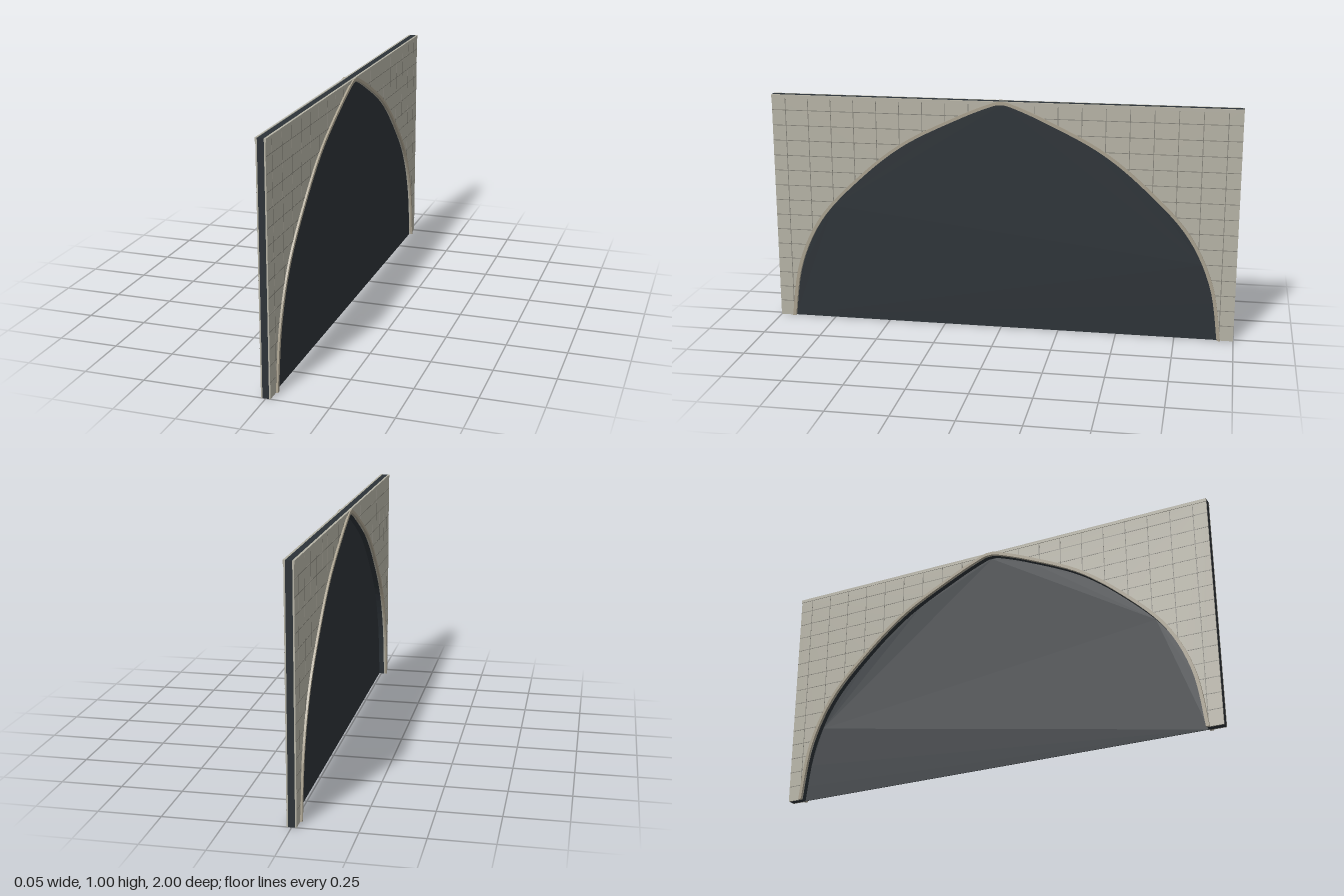
import * as THREE from 'three';

const stone = new THREE.MeshStandardMaterial({ color: 0xb5b2a5 });
const trimMat = new THREE.MeshStandardMaterial({ color: 0xa8a08e });
const jointMat = new THREE.MeshStandardMaterial({ color: 0x85837a });
const dark = new THREE.MeshStandardMaterial({ color: 0x2c3237 });

const CORE = 0.013, FACE = 0.019, RAIL = 0.022, TRIM = 0.027;

// Half of the pointed arch, from springing to apex, as (z, y)
const half = new THREE.SplineCurve([
  [0.945, 0], [0.905, 0.245], [0.8, 0.465], [0.615, 0.66], [0.42, 0.813], [0.18, 0.935], [0.04, 0.993], [0, 1],
].map(([z, y]) => new THREE.Vector2(z, y))).getPoints(40);

// Whole arch line from +z to -z, shrunk for the inner outline
function arch(sz = 1, sy = 1) {
  const a = half.map(p => new THREE.Vector2(p.x * sz, Math.min(p.y, 1) * sy));
  const b = a.slice(0, -1).reverse().map(p => new THREE.Vector2(-p.x, p.y));
  return [...a, ...b];
}
const outer = arch();
const inner = arch(0.985, 0.986);

// Height of the arch at z, and half width of the arch at y
function archY(z) {
  const i = Math.max(1, half.findIndex(p => p.x <= z));
  const a = half[i - 1], b = half[i];
  return a.x < z ? 0 : THREE.MathUtils.mapLinear(z, a.x, b.x, a.y, b.y);
}
function archZ(y) {
  const i = Math.max(1, half.findIndex(p => p.y >= y));
  const a = half[i - 1], b = half[i];
  return THREE.MathUtils.mapLinear(y, a.y, b.y, a.x, b.x);
}

// Upright slab: a (z, y) outline extruded between two x positions
function slab(name, points, x0, x1, material) {
  const geo = new THREE.ExtrudeGeometry(new THREE.Shape(points), { depth: x1 - x0, bevelEnabled: false });
  geo.rotateY(-Math.PI / 2);
  geo.translate(x1, 0, 0);
  const mesh = new THREE.Mesh(geo, material);
  mesh.name = name;
  return mesh;
}

function box(name, w, h, d, x, y, z, material) {
  const mesh = new THREE.Mesh(new THREE.BoxGeometry(w, h, d), material);
  mesh.position.set(x, y, z);
  mesh.name = name;
  return mesh;
}

export function createModel() {
  const group = new THREE.Group();
  group.name = 'archedWall';
  const v = (z, y) => new THREE.Vector2(z, y);
  const wall = [v(-1, 0), v(-1, 1), v(1, 1), v(1, 0), ...inner];

  // Dark core and the panel closing the opening near its right face
  group.add(slab('wallCore', wall, -CORE, CORE, dark));
  group.add(slab('openingPanel', inner, CORE - 0.003, CORE, dark));

  for (const s of [1, -1]) {
    const side = new THREE.Group();
    side.name = s > 0 ? 'leftFacing' : 'rightFacing';
    const span = (a, b) => (s > 0 ? [a, b] : [-b, -a]);

    // Facing, arch moulding and top rail
    side.add(slab('facing', wall, ...span(CORE, FACE), stone));
    const band = [...outer, ...[...inner].reverse()];
    side.add(slab('archMoulding', band, ...span(CORE, TRIM), trimMat));
    side.add(box('topRail', RAIL - CORE, 0.014, 2, s * (RAIL + CORE) / 2, 0.993, 0, stone));

    // Fine joints of the cladding, stopped at the arch
    const joints = new THREE.Group();
    joints.name = 'joints';
    for (const e of [1, -1]) {
      for (let i = 1; i < 10; i++) {
        const z = i * 0.1 + 0.04, y0 = archY(z), h = 0.986 - y0;
        if (h > 0.02) joints.add(box('verticalJoint', 0.001, h, 0.003, s * FACE, y0 + h / 2, e * z, jointMat));
      }
      for (let i = 1; i < 15; i++) {
        const y = i / 15, z0 = archZ(y), d = 1 - z0;
        joints.add(box('courseJoint', 0.001, 0.003, d, s * FACE, y, e * (z0 + d / 2), jointMat));
      }
    }
    side.add(joints);
    group.add(side);
  }
  return group;
}
